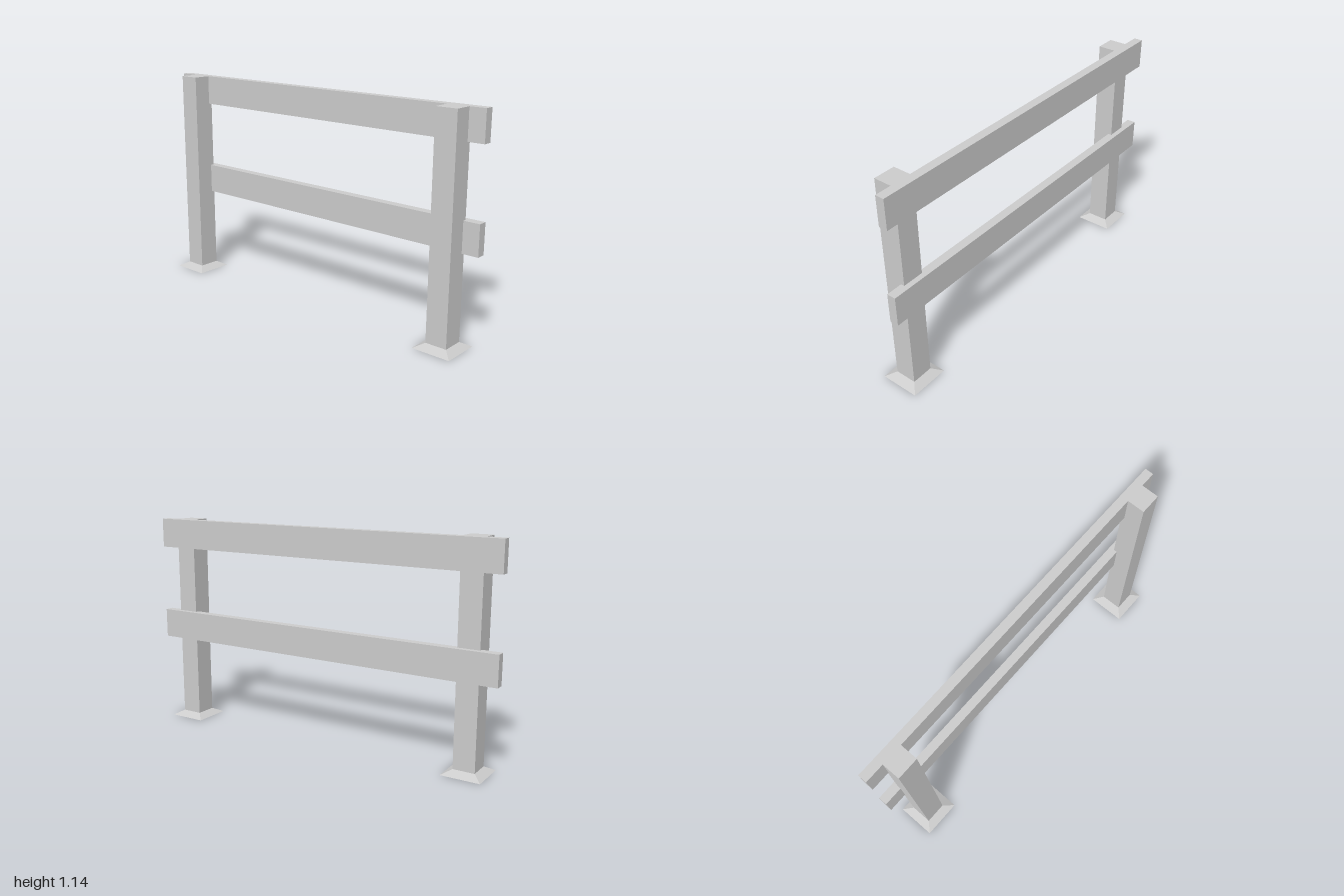
import * as THREE from 'three';

const POST = 0.113, FOOT = 0.205, FOOT_H = 0.025, TOP = 1.143;
const RAIL_H = 0.157, RAIL_D = 0.047, RAIL_Z = -0.06;

export function createModel() {
  const group = new THREE.Group();
  group.name = 'railFence';
  const material = new THREE.MeshStandardMaterial({ color: 0xcccccc, flatShading: true });

  const add = (name, geometry, x, y, z) => {
    const mesh = new THREE.Mesh(geometry, material);
    mesh.name = name;
    mesh.position.set(x, y, z);
    group.add(mesh);
  };

  // Square posts, each rising from a flared foot
  const postH = TOP - FOOT_H;
  const postGeometry = new THREE.BoxGeometry(POST, postH, POST);
  const footGeometry = new THREE.CylinderGeometry(POST * Math.SQRT1_2, FOOT * Math.SQRT1_2, FOOT_H, 4)
    .rotateY(Math.PI / 4);
  for (const [side, x] of [['right', -0.842], ['left', 0.858]]) {
    add(side + 'Post', postGeometry, x, FOOT_H + postH / 2, 0.001);
    add(side + 'Foot', footGeometry, x, FOOT_H / 2, 0.001);
  }

  // Horizontal boards let into the back of the posts
  const railGeometry = new THREE.BoxGeometry(2, RAIL_H, RAIL_D);
  add('topRail', railGeometry, 0, TOP - RAIL_H / 2, RAIL_Z);
  add('middleRail', railGeometry, 0, 0.547, RAIL_Z);

  return group;
}
